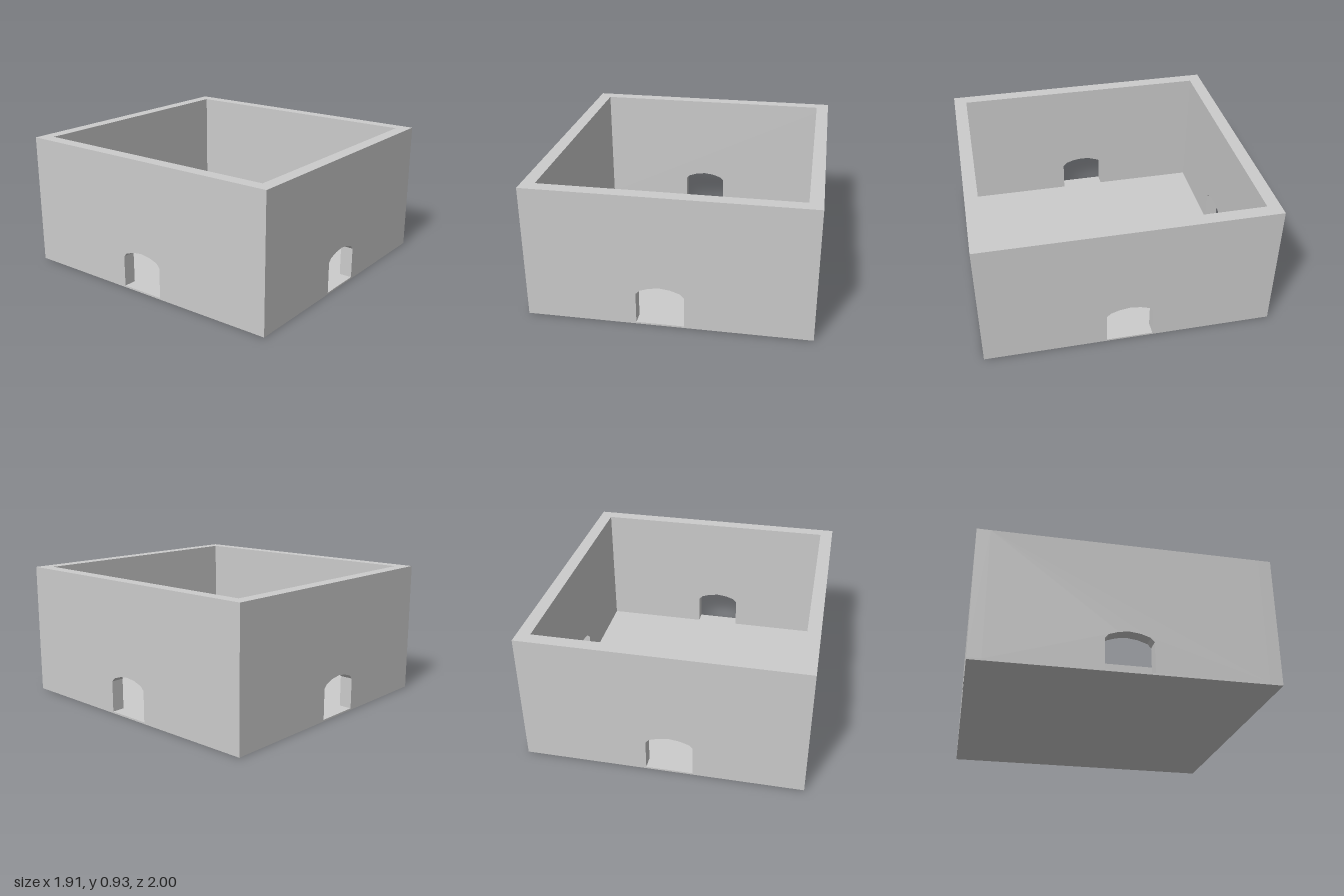
import * as THREE from 'three';

const W = 1.91, D = 2, H = 0.93; // overall size
const T = 0.09;                  // wall thickness
const FLOOR = 0.012;             // floor slab thickness

const material = new THREE.MeshStandardMaterial({ color: 0xcccccc, flatShading: true });

// Half of the doorway head, from the jamb to the crown: [offset from centre, height]
const head = [[0.16, 0.228], [0.135, 0.255], [0.07, 0.277], [0, 0.286]];

// Wall panel standing on the floor slab, with an arched doorway centred on doorX
function wallGeometry(length, doorX) {
  const h = length / 2;
  const arch = [
    ...head.map(([x, y]) => [doorX - x, y]),
    ...head.slice(0, -1).reverse().map(([x, y]) => [doorX + x, y]),
  ];
  const outline = [
    [-h, FLOOR], [doorX - 0.16, FLOOR], ...arch, [doorX + 0.16, FLOOR],
    [h, FLOOR], [h, H], [-h, H],
  ];
  const shape = new THREE.Shape(outline.map(([x, y]) => new THREE.Vector2(x, y)));
  const geometry = new THREE.ExtrudeGeometry(shape, { depth: T, bevelEnabled: false });
  return geometry.translate(0, 0, -T / 2);
}

export function createModel() {
  const group = new THREE.Group();
  const add = (name, geometry, x, y, z, turn = 0) => {
    const mesh = new THREE.Mesh(geometry, material);
    mesh.name = name;
    mesh.position.set(x, y, z);
    mesh.rotation.y = turn;
    group.add(mesh);
  };

  // Thin floor slab
  add('floor', new THREE.BoxGeometry(W, FLOOR, D), 0, FLOOR / 2, 0);

  // Front and back walls span the full width, side walls fit between them
  const long = wallGeometry(W, -0.05);
  const side = wallGeometry(D - 2 * T, 0);
  add('frontWall', long, 0, 0, (D - T) / 2);
  add('backWall', long, 0, 0, -(D - T) / 2);
  add('leftWall', side, (W - T) / 2, 0, 0, Math.PI / 2);
  add('rightWall', side, -(W - T) / 2, 0, 0, Math.PI / 2);

  return group;
}
